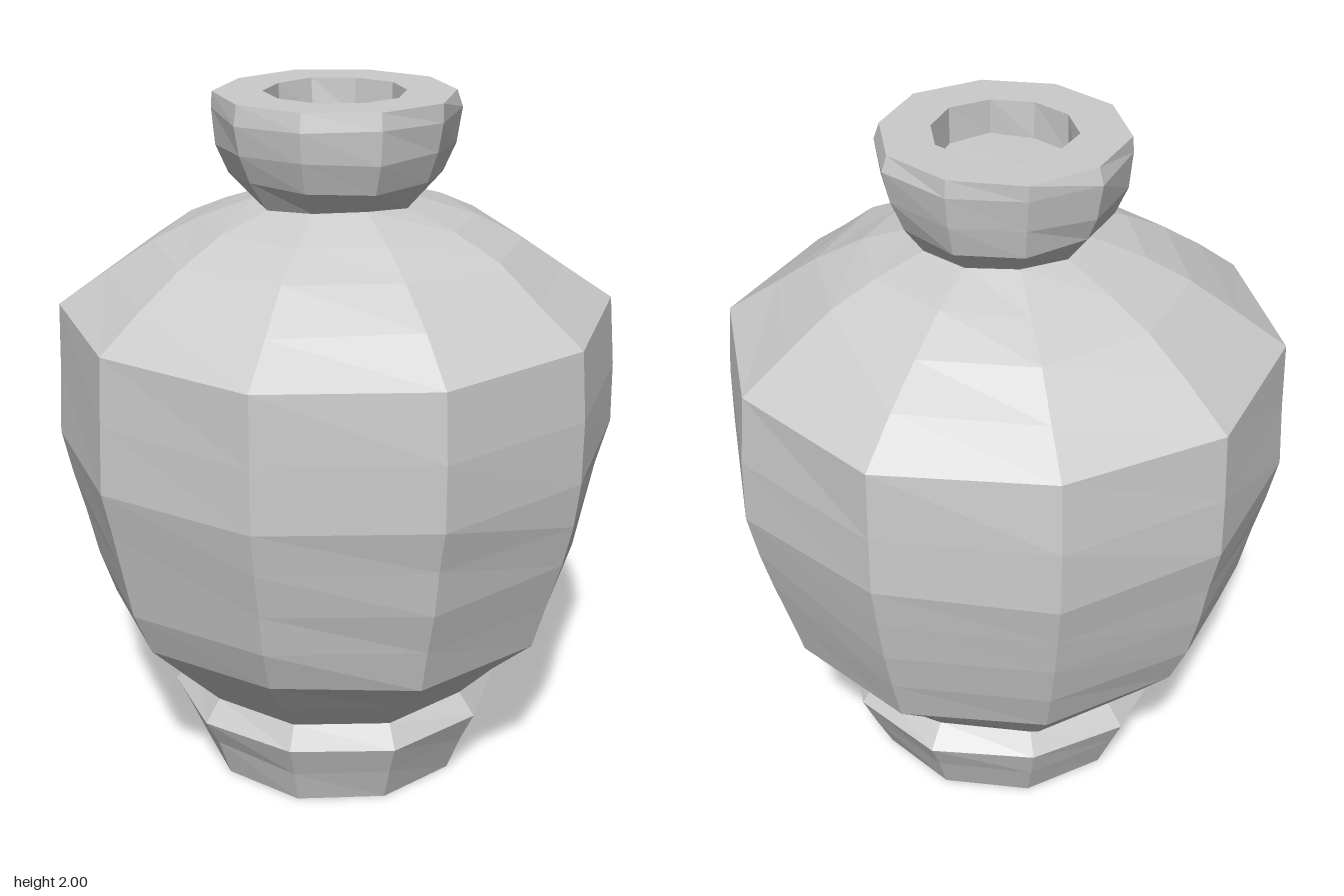
import * as THREE from 'three';

const SIDES = 10;

// Repeatable value in -1..1 for a ring height and side number
function wobble(y, side, salt) {
  const s = Math.sin(y * 91.7 + side * 12.9898 + salt * 37.3) * 43758.5453;
  return (s - Math.floor(s)) * 2 - 1;
}

// Ten-sided turned part with slightly uneven, hand-cut facets
function turned(name, profile, material) {
  const geo = new THREE.LatheGeometry(profile.map(([r, y]) => new THREE.Vector2(r, y)), SIDES);
  const pos = geo.attributes.position;
  const n = profile.length;
  for (let k = 0; k < pos.count; k++) {
    const [r, y] = profile[k % n];
    if (r === 0) continue;
    const side = Math.floor(k / n) % SIDES;
    const angle = (side / SIDES) * Math.PI * 2;
    const radius = r + 0.007 * wobble(y, side, 1);
    const lift = y > 0 && y < 2 ? 0.008 * wobble(y, side, 2) : 0;
    pos.setXYZ(k, radius * Math.sin(angle), y + lift, radius * Math.cos(angle));
  }
  geo.computeVertexNormals();
  const mesh = new THREE.Mesh(geo, material);
  mesh.name = name;
  return mesh;
}

export function createModel() {
  const group = new THREE.Group();
  group.name = 'vase';
  const stone = new THREE.MeshStandardMaterial({ color: 0xcccccc, flatShading: true });

  // Flared foot with a bevelled lip and closed underside
  group.add(turned('foot', [[0, 0.005], [0.405, 0], [0.45, 0.11], [0.49, 0.2], [0.44, 0.265]], stone));

  // Swelling belly, then a domed shoulder up to the pinched neck
  group.add(turned('body', [
    [0.44, 0.265], [0.55, 0.38], [0.665, 0.5], [0.71, 0.63], [0.745, 0.76], [0.775, 0.89],
    [0.8, 1.02], [0.797, 1.2], [0.785, 1.4],
    [0.65, 1.5], [0.52, 1.59], [0.39, 1.655], [0.235, 1.71],
  ], stone));

  // Cup-shaped mouth with a flat rim and a shallow closed hole
  group.add(turned('mouth', [
    [0.235, 1.71], [0.3, 1.78], [0.33, 1.86], [0.347, 1.95], [0.338, 2],
    [0.2, 2], [0.195, 1.9], [0, 1.905],
  ], stone));

  return group;
}
